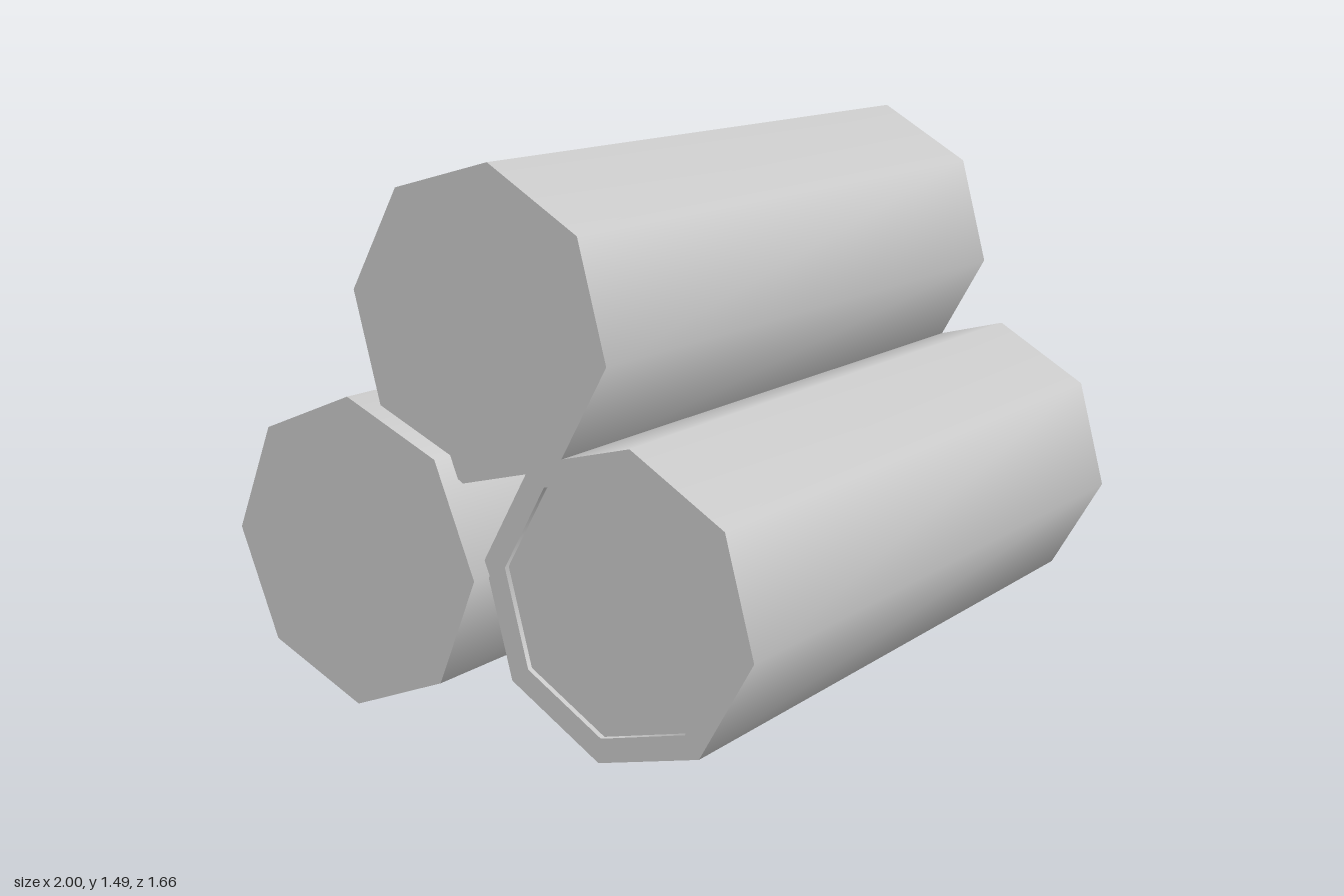
import * as THREE from 'three';
import { mergeGeometries } from 'three/addons/utils/BufferGeometryUtils.js';

const SIDES = 8;

// Octagonal log along x: each profile segment is its own strip, so sides are
// smooth around while the end edges stay sharp. Profile entries are [radius, x].
function logGeometry(profile, roll) {
  const strips = [];
  for (let i = 0; i < profile.length - 1; i++) {
    const pair = [profile[i], profile[i + 1]].map(([r, x]) => new THREE.Vector2(r, x));
    strips.push(new THREE.LatheGeometry(pair, SIDES));
  }
  return mergeGeometries(strips).rotateZ(-Math.PI / 2).rotateX(roll);
}

// Plain end, sides, then optionally a rim around a shallow recessed end face
function logProfile(r0, r1, x0, x1, recessed) {
  const points = [[0, x0], [r0, x0], [r1, x1]];
  if (recessed) points.push([0.35, x1], [0.35, x1 - 0.015], [0, x1 - 0.015]);
  else points.push([0, x1]);
  return points;
}

export function createModel() {
  const group = new THREE.Group();
  const material = new THREE.MeshStandardMaterial({ color: 0xcccccc });
  const roll = THREE.MathUtils.degToRad(7.2);

  function addLog(name, geometry, y, z) {
    const mesh = new THREE.Mesh(geometry, material);
    mesh.name = name;
    mesh.position.set(0, y, z);
    group.add(mesh);
  }

  // Upper log resting on the other two
  addLog('topLog', logGeometry(logProfile(0.418, 0.418, -0.94, 1, false), roll), 1.08, -0.013);

  // Front log, recessed at its -x end
  const front = logGeometry(logProfile(0.418, 0.418, -1, 0.94, true), -roll);
  front.rotateY(Math.PI);
  addLog('frontLog', front, 0.421, 0.417);

  // Back log, recessed at its +x end and leaning very slightly
  const back = logGeometry(logProfile(0.425, 0.418, -1, 0.94, true), 0);
  const pos = back.attributes.position;
  for (let i = 0; i < pos.count; i++) {
    const t = (0.94 - pos.getX(i)) / 1.94;
    pos.setY(i, pos.getY(i) + 0.013 * t);
    pos.setZ(i, pos.getZ(i) - 0.005 * t);
  }
  addLog('backLog', back, 0.421, -0.402);

  return group;
}
